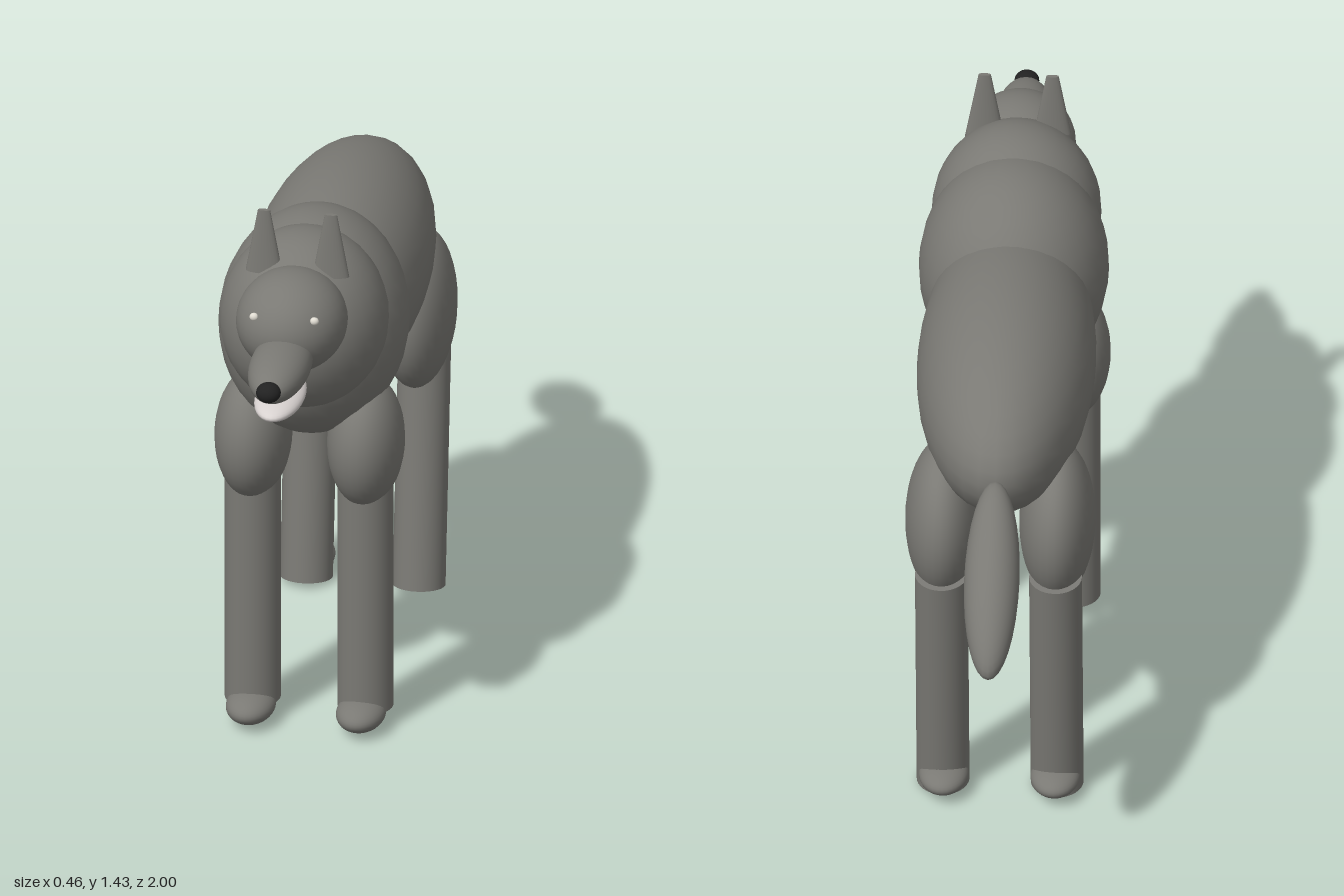
import * as THREE from 'three';

export function createModel() {
  const model = new THREE.Group();
  model.name = 'wolf';

  const material = (name, color) => {
    const m = new THREE.MeshStandardMaterial({ color });
    m.name = name;
    return m;
  };
  const fur = material('grey fur', 0x7a7974);
  const pale = material('pale fur', 0xd8d2d0);
  const black = material('black nose', 0x222222);
  const eyeColor = material('pale eye', 0xe0dcd2);

  const add = (name, geometry, mat, position, tilt = 0) => {
    const mesh = new THREE.Mesh(geometry, mat);
    mesh.name = name;
    mesh.position.set(...position);
    mesh.rotation.x = tilt;
    model.add(mesh);
    return mesh;
  };
  // Smooth ellipsoid given by its centre and three radii
  const blob = (name, mat, position, radii, tilt = 0) =>
    add(name, new THREE.SphereGeometry(1, 32, 20).scale(...radii), mat, position, tilt);

  // Torso
  blob('body', fur, [0, 1.0, -0.05], [0.216, 0.24, 0.55]);
  blob('belly', pale, [0, 0.87, 0.05], [0.163, 0.135, 0.4]);
  blob('chest', fur, [0, 1.04, 0.32], [0.23, 0.28, 0.28]);
  blob('neck', fur, [0, 1.11, 0.46], [0.205, 0.225, 0.215]);

  // Head
  blob('head', fur, [0, 1.185, 0.637], [0.135, 0.125, 0.15]);
  blob('snout', fur, [0, 1.137, 0.8], [0.074, 0.058, 0.18]);
  blob('lowerJaw', pale, [0, 1.057, 0.8], [0.06, 0.027, 0.14]);
  blob('nose', black, [0, 1.146, 0.971], [0.03, 0.025, 0.029]);

  // Tail, sloping down and back
  blob('tail', fur, [0, 0.86, -0.793], [0.067, 0.07, 0.253], -0.66);

  // Paired parts: +1 is the left side, -1 the right
  for (const side of [1, -1]) {
    const label = side > 0 ? 'left' : 'right';
    const x = 0.138 * side;

    blob(label + 'Eye', eyeColor, [0.074 * side, 1.237, 0.747], [0.011, 0.01, 0.009]);
    add(label + 'Ear', new THREE.CylinderGeometry(0.015, 0.045, 0.163, 24).scale(1, 1, 0.4),
      fur, [0.082 * side, 1.352, 0.557]);

    // Foreleg
    blob(label + 'Shoulder', fur, [x, 0.752, 0.383], [0.093, 0.165, 0.137]);
    add(label + 'Foreleg', new THREE.CylinderGeometry(0.068, 0.068, 0.62, 32), fur, [x, 0.36, 0.392]);
    blob(label + 'Forepaw', fur, [x - 0.003 * side, 0.048, 0.436], [0.06, 0.039, 0.089]);

    // Hind leg, leaning back towards the top
    blob(label + 'Haunch', fur, [x, 0.758, -0.36], [0.092, 0.2, 0.175], -0.08);
    add(label + 'HindLeg', new THREE.CylinderGeometry(0.064, 0.064, 0.65, 32), fur,
      [x, 0.332, -0.414], -0.13);
    blob(label + 'HindPaw', fur, [x - 0.003 * side, 0.048, -0.408], [0.06, 0.035, 0.088]);
  }
  return model;
}
